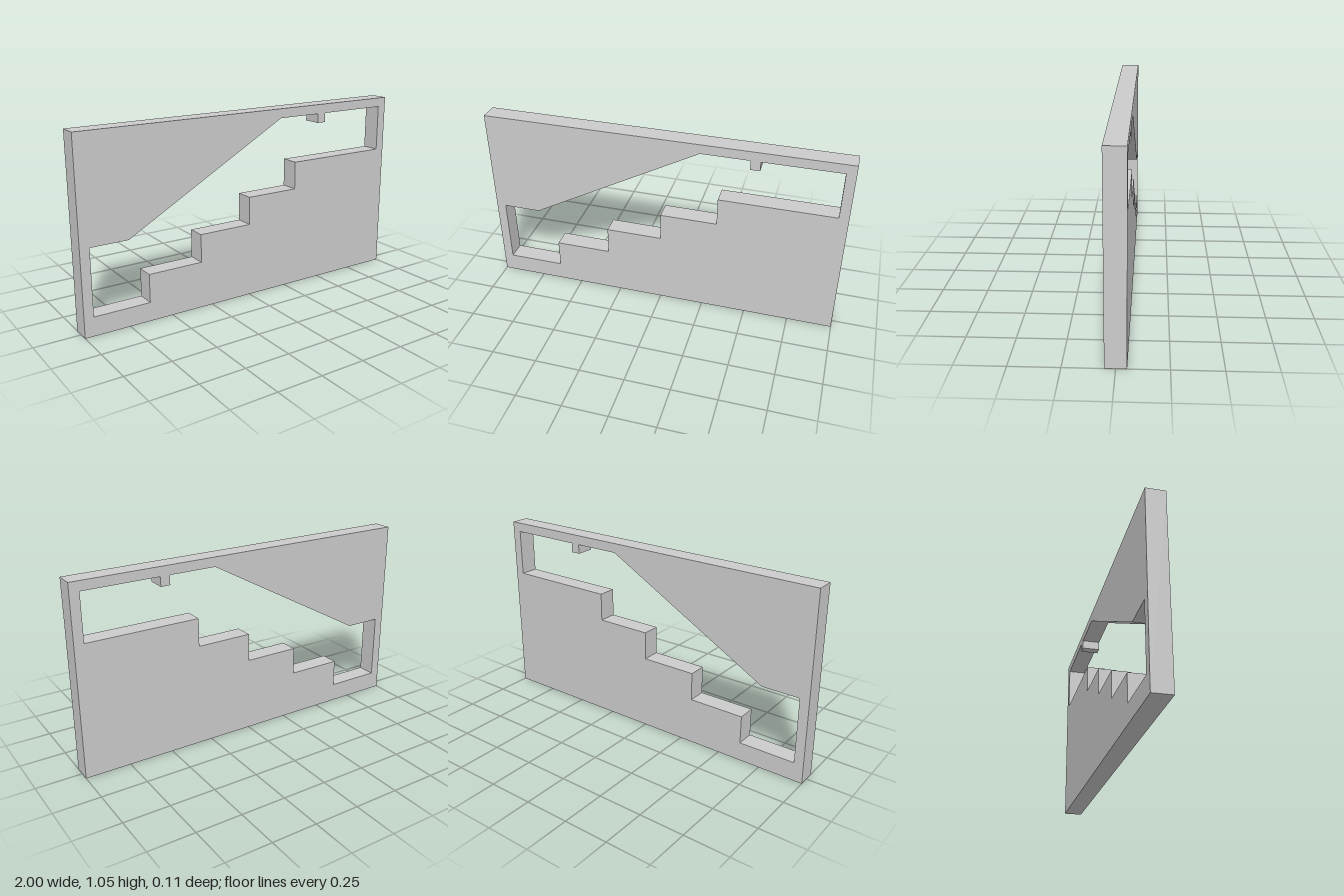
import * as THREE from 'three';

// Everything sits on a square module: 38 wide, 20 high, 2 deep
const U = 2 / 38;
const points = (list) => list.map(([x, y]) => new THREE.Vector2(x * U, y * U));

export function createModel() {
  const group = new THREE.Group();
  group.name = 'stairwellPanel';

  // Rectangular outer frame
  const outline = new THREE.Shape(points([[-19, 0], [19, 0], [19, 20], [-19, 20]]));

  // Opening, lower edge: a staircase rising to the right
  const opening = [];
  const steps = 5, run = 6, rise = 3;
  for (let i = 0; i < steps; i++) {
    const y = 2 + i * rise;
    const x = -18 + i * run;
    opening.push([x, y], [i === steps - 1 ? 18 : x + run, y]);
  }

  // Opening, upper edge: flat ceiling with a small lug, then the sloping soffit
  opening.push([18, 19], [10, 19], [10, 18], [9, 18], [9, 19], [4, 19], [-14, 9], [-18, 9]);
  outline.holes.push(new THREE.Path(points(opening)));

  // Panel thickness, centred on z = 0
  const geometry = new THREE.ExtrudeGeometry(outline, { depth: 2 * U, bevelEnabled: false });
  geometry.translate(0, 0, -U);

  const panel = new THREE.Mesh(
    geometry,
    new THREE.MeshStandardMaterial({ color: 0xcccccc, flatShading: true })
  );
  panel.name = 'staircasePanel';
  group.add(panel);
  return group;
}
